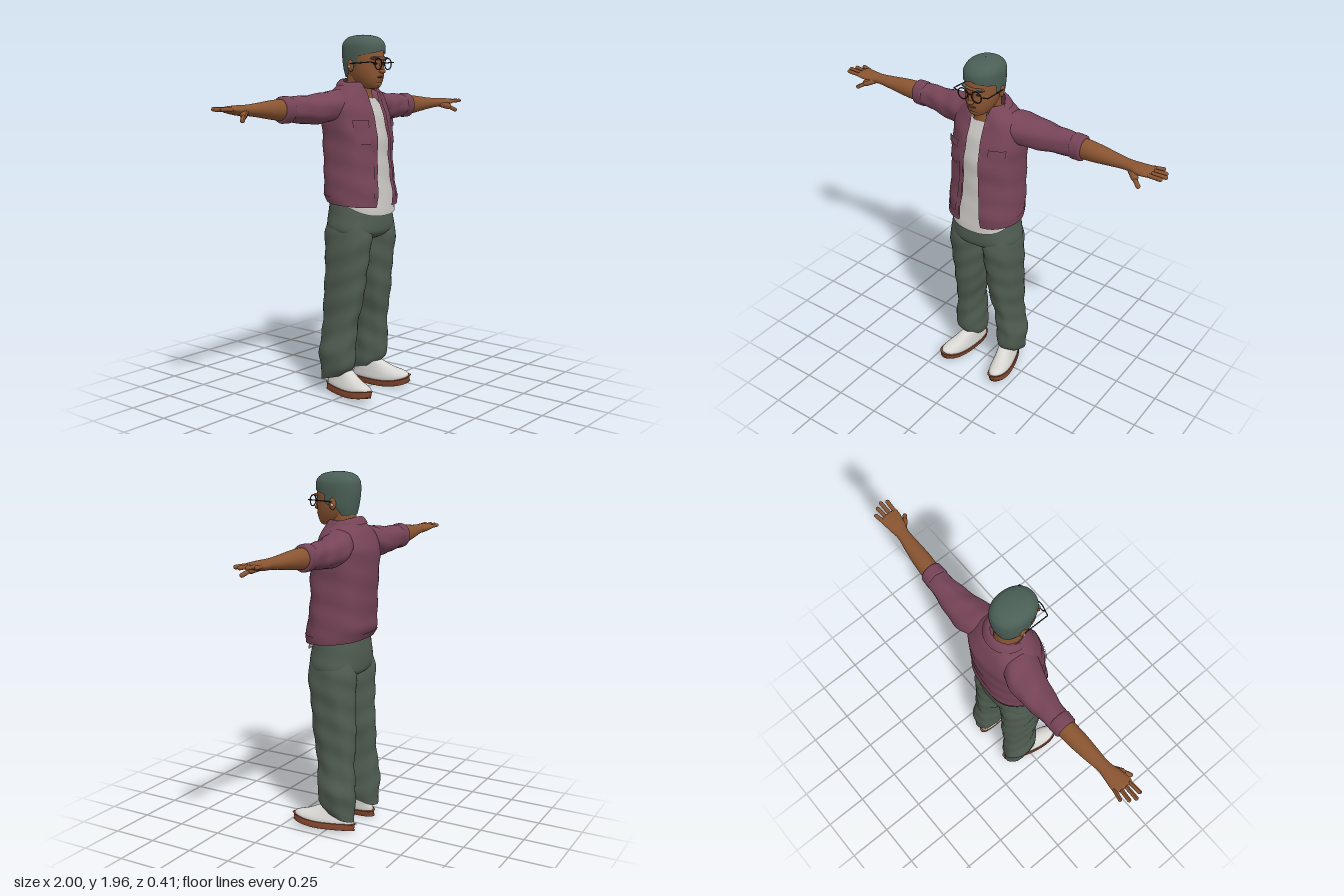
import * as THREE from 'three';

const mat = (name, color, double) => {
  const m = new THREE.MeshStandardMaterial({ color });
  m.name = name;
  if (double) m.side = THREE.DoubleSide;
  return m;
};

// Smoothly interpolate a table of cross-sections, t in 0..1
function sample(rows, t) {
  const f = Math.min(Math.max(t, 0), 1) * (rows.length - 1);
  const i = Math.min(Math.floor(f), rows.length - 2), k = f - i;
  const row = (n) => rows[Math.min(Math.max(n, 0), rows.length - 1)];
  return rows[i].map((b, c) => {
    const a = row(i - 1)[c], d = row(i + 1)[c], e = row(i + 2)[c];
    return b + 0.5 * k * (d - a + k * (2 * a - 5 * b + 4 * d - e + k * (3 * (b - d) + e - a)));
  });
}

// Grid surface from fn(s, t) -> [x, y, z]; closed joins the s ends
function surface(nu, nv, fn, closed = false) {
  const pos = [], idx = [], w = closed ? nu : nu + 1;
  for (let j = 0; j <= nv; j++) for (let i = 0; i < w; i++) pos.push(...fn(i / nu, j / nv));
  for (let j = 0; j < nv; j++) for (let i = 0; i < nu; i++) {
    const a = j * w + i, b = j * w + (i + 1) % w;
    idx.push(a, b, a + w, b, b + w, a + w);
  }
  const g = new THREE.BufferGeometry();
  g.setAttribute('position', new THREE.Float32BufferAttribute(pos, 3));
  g.setIndex(idx);
  g.computeVertexNormals();
  return g;
}

// Point on a section [y, cx, cz, rx, rz]; p below 1 squares the outline
function ringPoint([y, cx, cz, rx, rz], a, p = 1, grow = 0) {
  const s = Math.sin(a), c = Math.cos(a);
  return [cx + (rx + grow) * Math.sign(s) * Math.abs(s) ** p, y, cz + (rz + grow) * Math.sign(c) * Math.abs(c) ** p];
}

const fold = (a, y, amp) => amp * Math.sin(a * 4 + y * 28) * Math.sin(y * 19 - a * 2);

function loft(rows, { p = 1, amp = 0, nu = 32, nv = 32, bend } = {}) {
  return surface(nu, nv, (s, t) => {
    const r = sample(rows, t), a = s * Math.PI * 2;
    const q = ringPoint(r, a, p, r[3] > 0.01 ? fold(a, r[0], amp) : 0);
    return bend ? bend(q, a, t) : q;
  }, true);
}

function mirror(g) {
  const m = g.clone().scale(-1, 1, 1), id = m.index.array;
  for (let i = 0; i < id.length; i += 3) [id[i], id[i + 1]] = [id[i + 1], id[i]];
  m.computeVertexNormals();
  return m;
}

// Rounded rod between two points
function rod(p0, p1, r) {
  const a = new THREE.Vector3(...p0), d = new THREE.Vector3(...p1).sub(a), len = d.length();
  const g = new THREE.CapsuleGeometry(r, Math.max(len - 2 * r, 0.001), 4, 10);
  g.applyQuaternion(new THREE.Quaternion().setFromUnitVectors(new THREE.Vector3(0, 1, 0), d.clone().normalize()));
  return g.translate(a.x + d.x / 2, a.y + d.y / 2, a.z + d.z / 2);
}

const ball = (x, y, z, sx, sy, sz) => new THREE.SphereGeometry(1, 20, 14).scale(sx, sy, sz).translate(x, y, z);

export function createModel() {
  const skin = mat('skin', 0x8a5532), hair = mat('hair', 0x4a5f56, true), jacket = mat('jacket', 0x764457, true);
  const shirt = mat('shirt', 0xcbc8c4, true), pants = mat('trousers', 0x4f5c50, true), white = mat('shoe white', 0xd8d6d2);
  const sole = mat('sole', 0x85482f), frame = mat('spectacle frame', 0x2b2522), lip = mat('lip', 0x6b3b28);
  const root = new THREE.Group();
  const add = (name, g, m, parent = root) => {
    const mesh = new THREE.Mesh(g, m);
    mesh.name = name;
    parent.add(mesh);
    return mesh;
  };
  const pair = (name, g, m, parent) => {
    add('left ' + name, g, m, parent);
    add('right ' + name, mirror(g), m, parent);
  };

  // Head and neck
  add('head', loft([[1.672, 0, 0.075, 0.001, 0.001], [1.678, 0, 0.07, 0.03, 0.04], [1.695, 0, 0.055, 0.052, 0.066],
    [1.725, 0, 0.042, 0.068, 0.09], [1.76, 0, 0.032, 0.079, 0.102], [1.8, 0, 0.024, 0.085, 0.108], [1.85, 0, 0.02, 0.087, 0.112],
    [1.9, 0, 0.015, 0.08, 0.1], [1.935, 0, 0.012, 0.05, 0.06], [1.945, 0, 0.01, 0.001, 0.001]], { p: 0.92, nv: 48 }), skin);
  add('neck', loft([[1.56, 0, -0.01, 0.085, 0.075], [1.62, 0, -0.015, 0.075, 0.075], [1.68, 0, -0.018, 0.063, 0.07],
    [1.76, 0, -0.01, 0.062, 0.07]]), skin);
  add('nose bridge', rod([0, 1.81, 0.13], [0, 1.768, 0.146], 0.011), skin);
  add('nose tip', ball(0, 1.765, 0.142, 0.019, 0.012, 0.016), skin);
  add('brow ridge', ball(0, 1.832, 0.118, 0.068, 0.012, 0.02), skin);
  add('chin', ball(0, 1.7, 0.105, 0.03, 0.018, 0.022), skin);
  add('mouth', ball(0, 1.735, 0.129, 0.026, 0.006, 0.009), lip);
  pair('ear', ball(0.09, 1.795, 0, 0.012, 0.032, 0.02), skin);
  pair('ear stud', ball(0.1, 1.79, -0.002, 0.006, 0.009, 0.006), white);
  pair('eye', ball(0.036, 1.805, 0.122, 0.014, 0.006, 0.009), frame);
  pair('eyebrow', ball(0.038, 1.836, 0.128, 0.025, 0.005, 0.008), hair);

  // Hair cap, cut away around the face
  const hairRows = [[1.735, 0, -0.02, 0.068, 0.066], [1.78, 0, 0.01, 0.089, 0.107], [1.83, 0, 0.014, 0.094, 0.119],
    [1.87, 0, 0.016, 0.097, 0.123], [1.91, 0, 0.016, 0.094, 0.118], [1.94, 0, 0.014, 0.074, 0.09],
    [1.953, 0, 0.012, 0.04, 0.048], [1.957, 0, 0.01, 0.001, 0.001]];
  const step = THREE.MathUtils.smoothstep;
  add('hair', surface(48, 64, (s, t) => {
    const r = sample(hairRows, t);
    const cut = 1.3 * (1 - step(r[0], 1.84, 1.875)) + 0.5 * (1 - step(r[0], 1.77, 1.8));
    return ringPoint(r, cut + s * 2 * (Math.PI - cut), 0.92);
  }), hair);

  // Spectacles
  const specs = new THREE.Group();
  specs.name = 'spectacles';
  root.add(specs);
  pair('rim', new THREE.TorusGeometry(0.029, 0.003, 8, 28).translate(0.041, 1.803, 0.147), frame, specs);
  pair('hinge', rod([0.069, 1.81, 0.147], [0.104, 1.812, 0.138], 0.003), frame, specs);
  pair('temple', rod([0.103, 1.812, 0.14], [0.1, 1.805, 0], 0.003), frame, specs);
  add('bridge', rod([-0.013, 1.81, 0.148], [0.013, 1.81, 0.148], 0.003), frame, specs);

  // Undershirt with a curved hem
  add('shirt', loft([[1.0, 0, 0.005, 0.197, 0.15], [1.06, 0, 0.004, 0.194, 0.148], [1.15, 0, -0.005, 0.188, 0.143],
    [1.3, 0, -0.018, 0.18, 0.145], [1.42, 0, -0.025, 0.178, 0.147], [1.52, 0, -0.036, 0.175, 0.138],
    [1.58, 0, -0.04, 0.15, 0.122], [1.625, 0, -0.035, 0.085, 0.1]],
  { p: 0.85, amp: 0.003, bend: ([x, y, z], a, t) => [x, y + 0.08 * (1 - Math.cos(a)) * Math.max(0, 1 - t * 4), z] }), shirt);

  // Open jacket; the sixth column is half the front gap
  const jacketRows = [[1.05, 0, 0.005, 0.204, 0.158, 0.068], [1.12, 0, -0.006, 0.209, 0.172, 0.062], [1.2, 0, -0.013, 0.205, 0.168, 0.055],
    [1.3, 0, -0.02, 0.199, 0.166, 0.048], [1.42, 0, -0.024, 0.195, 0.169, 0.044], [1.52, 0, -0.036, 0.199, 0.158, 0.041],
    [1.58, 0, -0.042, 0.194, 0.146, 0.04], [1.64, 0, -0.04, 0.165, 0.12, 0.042], [1.68, 0, -0.034, 0.12, 0.098, 0.05],
    [1.71, 0, -0.03, 0.085, 0.084, 0.055]];
  const P = 0.85;
  const gapAngle = (r) => Math.asin((r[5] / r[3]) ** (1 / P));
  const jacketPoint = (a, t, off = 0) => {
    const r = sample(jacketRows, t);
    const q = ringPoint(r, a, P, off + fold(a, r[0], 0.004));
    q[1] += 0.03 * (1 - Math.cos(a)) / 2 * Math.max(0, 1 - t * 5);
    return q;
  };
  const jacketSpan = (s, t, off) => {
    const g = gapAngle(sample(jacketRows, t));
    return jacketPoint(g + s * 2 * (Math.PI - g), t, off);
  };
  add('jacket body', surface(72, 54, (s, t) => jacketSpan(s, t)), jacket);
  add('jacket hem band', surface(72, 4, (s, t) => jacketSpan(s, t * 0.08, 0.005)), jacket);
  pair('jacket placket', surface(3, 40, (s, t) => {
    const v = t * 0.82;
    return jacketPoint(gapAngle(sample(jacketRows, v)) + s * 0.13, v, 0.004);
  }), jacket);
  pair('chest pocket', surface(10, 8, (s, t) => jacketPoint(0.42 + s * 0.48, 0.41 + t * 0.1, 0.004)), jacket);
  pair('pocket flap', surface(10, 4, (s, t) => jacketPoint(0.4 + s * 0.52, 0.5 + t * 0.045, 0.009)), jacket);
  // Folded collar, longer at the front points
  add('collar', surface(48, 6, (s, t) => {
    const a = 0.45 + s * 2 * (Math.PI - 0.45), c = Math.cos(a), k = 1 - t, mix = THREE.MathUtils.lerp;
    return [mix(0.078, 0.118, k) * Math.sin(a), mix(1.7 - 0.028 * c, 1.69 - 0.075 * Math.max(0, c), k) + 0.012 * Math.sin(k * Math.PI),
      mix(-0.025 + 0.08 * c, -0.03 + (c > 0 ? 0.135 : 0.112) * c, k)];
  }), jacket);

  // Arms run along x; sections are [x, -y, z, ry, rz]
  const arms = new THREE.Group();
  arms.name = 'arms';
  arms.rotation.y = -0.016;
  root.add(arms);
  const armLoft = (rows, opt) => loft(rows, opt).rotateZ(-Math.PI / 2);
  pair('sleeve', armLoft([[0.07, -1.6, -0.05, 0.06, 0.07], [0.14, -1.592, -0.06, 0.076, 0.096], [0.22, -1.575, -0.08, 0.081, 0.095],
    [0.32, -1.568, -0.089, 0.074, 0.079], [0.42, -1.571, -0.092, 0.066, 0.064], [0.5, -1.572, -0.09, 0.063, 0.055],
    [0.52, -1.572, -0.09, 0.05, 0.045]], { amp: 0.004, nv: 40 }), jacket, arms);
  pair('rolled cuff', armLoft([[0.465, -1.572, -0.09, 0.058, 0.05], [0.472, -1.572, -0.09, 0.068, 0.061], [0.5, -1.572, -0.09, 0.069, 0.06],
    [0.525, -1.572, -0.09, 0.067, 0.058], [0.53, -1.572, -0.09, 0.05, 0.044]], { nv: 16 }), jacket, arms);
  pair('forearm and palm', armLoft([[0.48, -1.572, -0.09, 0.05, 0.045], [0.54, -1.573, -0.089, 0.053, 0.048], [0.61, -1.575, -0.085, 0.047, 0.047],
    [0.7, -1.577, -0.08, 0.035, 0.04], [0.78, -1.579, -0.074, 0.027, 0.033], [0.84, -1.58, -0.069, 0.025, 0.045],
    [0.895, -1.584, -0.068, 0.018, 0.052], [0.915, -1.586, -0.068, 0.011, 0.046], [0.92, -1.586, -0.068, 0.001, 0.001]], { nv: 44 }), skin, arms);
  [[-0.108, -0.122, 0.957], [-0.083, -0.09, 0.985], [-0.057, -0.058, 1.0], [-0.032, -0.026, 0.987]].forEach(([z0, z1, tip], i) =>
    pair('finger ' + (i + 1), rod([0.885, 1.585, z0], [tip, 1.589, z1], 0.0105), skin, arms));
  pair('thumb base', rod([0.8, 1.574, -0.06], [0.862, 1.552, -0.008], 0.018), skin, arms);
  pair('thumb', rod([0.84, 1.56, -0.022], [0.892, 1.53, 0.014], 0.0115), skin, arms);

  // Trousers
  add('hips', loft([[0.855, 0, -0.01, 0.001, 0.001], [0.868, 0, -0.01, 0.09, 0.08], [0.895, 0, -0.006, 0.175, 0.132], [0.93, 0, -0.004, 0.203, 0.147],
    [1.0, 0, -0.006, 0.195, 0.144], [1.06, 0, -0.008, 0.188, 0.136], [1.12, 0, -0.01, 0.18, 0.13]], { p: 0.85, amp: 0.002, nu: 48 }), pants);
  pair('trouser leg', loft([[0.1, 0.138, -0.075, 0.062, 0.082], [0.16, 0.14, -0.058, 0.074, 0.102], [0.24, 0.145, -0.054, 0.08, 0.108],
    [0.32, 0.138, -0.048, 0.072, 0.106], [0.42, 0.131, -0.04, 0.069, 0.106], [0.55, 0.119, -0.028, 0.083, 0.121],
    [0.68, 0.113, -0.017, 0.091, 0.126], [0.8, 0.108, -0.01, 0.099, 0.134], [0.9, 0.105, -0.006, 0.1, 0.138],
    [0.98, 0.1, -0.006, 0.085, 0.12]],
  { p: 0.92, amp: 0.005, nv: 60, bend: ([x, y, z], a, t) => [x, y + 0.025 * Math.cos(a) * Math.max(0, 1 - t * 8), z] }), pants);

  // Shoes, toes turned out and curling up slightly
  const shoe = (rows) => loft(rows, {
    p: 0.9, nu: 40,
    bend: ([x, y, z]) => [x * (1 + 0.9 * z), y + 0.9 * Math.max(0, z) ** 2, z],
  }).rotateZ(0.15).rotateY(0.21).translate(0.152, 0.006, 0.024);
  pair('shoe sole', shoe([[0.002, 0, 0, 0.001, 0.001], [0.003, 0, 0, 0.048, 0.165], [0.012, 0, 0, 0.056, 0.174],
    [0.035, 0, 0, 0.058, 0.177], [0.042, 0, 0, 0.054, 0.172], [0.044, 0, 0, 0.001, 0.001]]), sole);
  pair('shoe upper', shoe([[0.036, 0, 0, 0.054, 0.172], [0.055, 0, -0.001, 0.055, 0.17], [0.075, 0, -0.012, 0.051, 0.153],
    [0.1, 0, -0.037, 0.045, 0.122], [0.125, 0, -0.058, 0.039, 0.096], [0.145, 0, -0.078, 0.034, 0.07],
    [0.15, 0, -0.08, 0.001, 0.001]]), white);

  return root;
}
